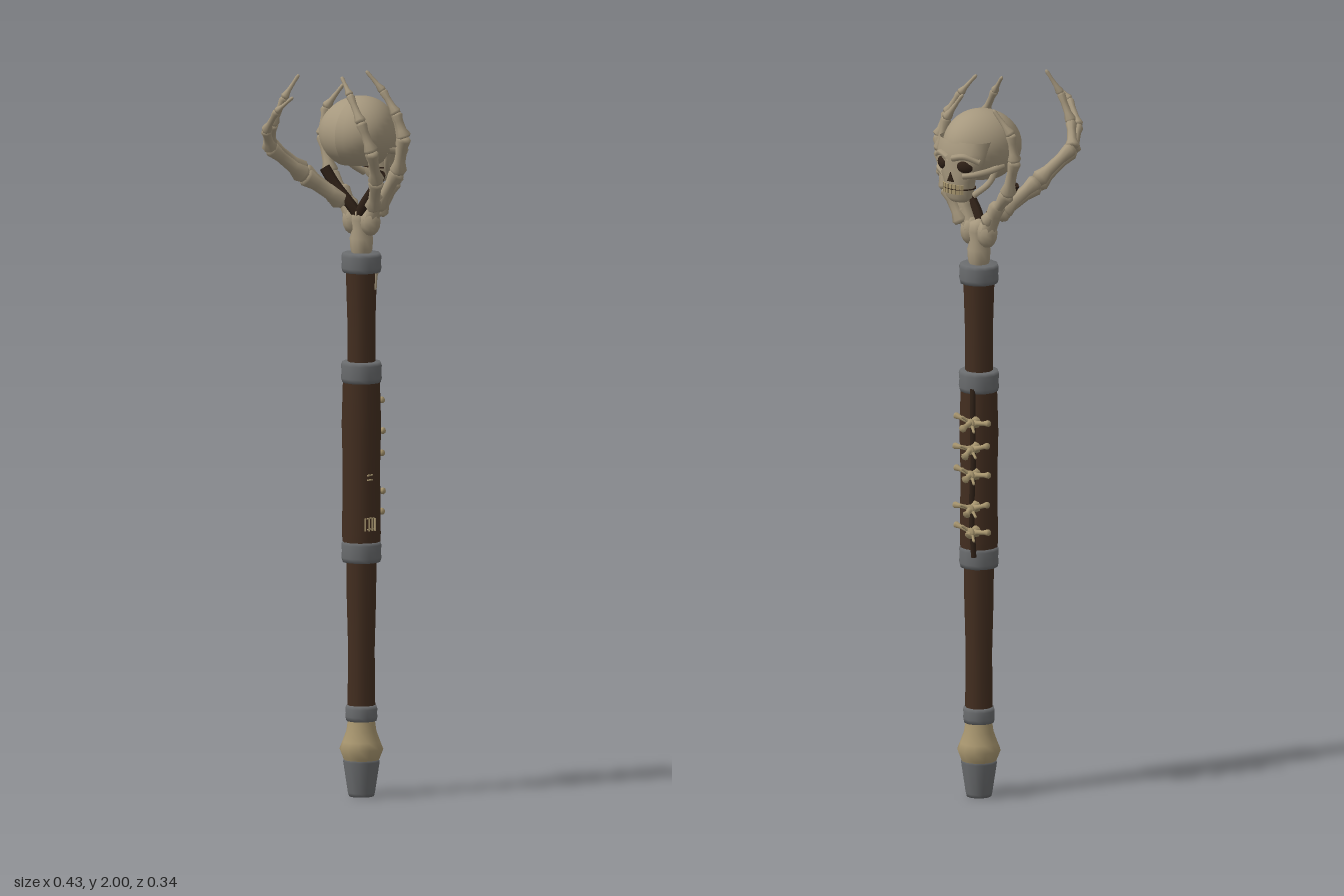
import * as THREE from 'three';

const mat = (name, color, side = THREE.FrontSide) => {
  const m = new THREE.MeshStandardMaterial({ color, side });
  m.name = name;
  return m;
};
const V = (p) => new THREE.Vector3(...p);
const AX = 0.08, AZ = -0.01; // staff axis

export function createModel() {
  const root = new THREE.Group();
  root.name = 'boneStaff';
  const bone = mat('bone', 0xa6987e, THREE.DoubleSide);
  const oldBone = mat('old bone', 0xa8966f);
  const wood = mat('dark brown leather', 0x432e20);
  const metal = mat('grey metal', 0x6a6c6e);
  const dark = mat('dried dark brown', 0x2f2117, THREE.DoubleSide);

  const add = (parent, name, geo, material, pos = [0, 0, 0]) => {
    const m = new THREE.Mesh(geo, material);
    m.name = name;
    m.position.set(...pos);
    parent.add(m);
    return m;
  };
  // Turned part on the staff axis, profile as [radius, y]
  const turned = (name, pts, material, sides = 12) =>
    add(root, name, new THREE.LatheGeometry(pts.map(([r, y]) => new THREE.Vector2(r, y)), sides), material, [AX, 0, AZ]);

  // Staff body
  turned('footCap', [[0, 0], [0.034, 0], [0.037, 0.01], [0.05, 0.095], [0.047, 0.105], [0, 0.105]], metal);
  turned('knuckleKnob', [[0.045, 0.09], [0.05, 0.105], [0.06, 0.13], [0.052, 0.15], [0.041, 0.18], [0.036, 0.215]], oldBone);
  turned('lowerShaft', [[0.038, 0.22], [0.036, 0.4], [0.04, 0.55], [0.041, 0.66]], wood, 10);
  turned('grip', [[0.05, 0.67], [0.053, 0.72], [0.051, 0.9], [0.054, 1.02], [0.05, 1.16]], wood, 12);
  turned('upperShaft', [[0.038, 1.17], [0.038, 1.3], [0.043, 1.46]], wood, 10);
  const rings = [[0.207, 0.25, 0.044], [0.643, 0.7, 0.055], [1.135, 1.192, 0.056], [1.437, 1.49, 0.055]];
  for (const [a, b, r] of rings)
    turned('metalBand', [[0.03, a], [r * 0.94, a], [r, a + 0.012], [r * 0.97, (a + b) / 2], [r, b - 0.01], [r * 0.93, b], [0.02, b]], metal, 12);

  // Tapered bone with swollen ends between two points
  const up = new THREE.Vector3(0, 1, 0);
  const phalanx = (parent, name, a, b, r0, r1, material = bone, waist = 0.68) => {
    const d = V(b).sub(V(a)), len = d.length();
    const prof = [[0, -0.04], [0.75, -0.02], [1, 0.08], [waist, 0.3], [waist, 0.68], [0.95, 0.92], [0.7, 1.01], [0, 1.03]];
    const pts = prof.map(([r, t]) => new THREE.Vector2(r * (r0 + (r1 - r0) * t), t * len));
    const m = add(parent, name, new THREE.LatheGeometry(pts, 8), material, a);
    m.quaternion.setFromUnitVectors(up, d.normalize());
    return m;
  };
  const tube = (parent, name, pts, r, material) =>
    add(parent, name, new THREE.TubeGeometry(new THREE.CatmullRomCurve3(pts.map(V)), 12, r, 6), material);
  const chain = (name, pts, radii) => {
    const g = new THREE.Group();
    g.name = name;
    root.add(g);
    for (let i = 0; i < pts.length - 1; i++) phalanx(g, name + 'Bone', pts[i], pts[i + 1], radii[i], radii[i + 1]);
  };

  // Wrist
  turned('wrist', [[0.024, 1.48], [0.03, 1.5], [0.032, 1.53], [0.025, 1.555], [0.03, 1.58], [0.026, 1.605], [0, 1.615]], bone, 10);
  for (const s of [-1, 1]) {
    const knob = add(root, 'wristKnob', new THREE.SphereGeometry(1, 10, 8), bone, [AX, 1.578, AZ + s * 0.03]);
    knob.scale.set(0.028, 0.04, 0.03);
    phalanx(root, 'palmBone', [AX, 1.575, AZ + s * 0.025], [AX, 1.665, AZ + s * 0.07], 0.028, 0.024, bone, 0.85);
    tube(root, 'driedSinew', [[0.07, 1.59, AZ], [0.06, 1.625, AZ + s * 0.025], [0.05, 1.675, AZ + s * 0.068], [0.04, 1.72, AZ + s * 0.095]], 0.015, dark);
  }

  // Fingers
  chain('rearOuterFinger', [[0.06, 1.63, -0.06], [-0.04, 1.705, -0.115], [-0.14, 1.79, -0.155], [-0.19, 1.845, -0.13], [-0.215, 1.905, -0.075], [-0.203, 1.945, -0.03]], [0.03, 0.027, 0.022, 0.015, 0.011, 0.005]);
  chain('rearInnerFinger', [[0.05, 1.64, -0.07], [-0.03, 1.72, -0.125], [-0.13, 1.80, -0.162], [-0.166, 1.86, -0.125], [-0.162, 1.935, -0.09], [-0.137, 1.997, -0.06]], [0.026, 0.024, 0.021, 0.016, 0.012, 0.005]);
  chain('thumb', [[0.085, 1.61, -0.045], [0.08, 1.70, -0.115], [0.09, 1.80, -0.15], [0.1, 1.875, -0.145], [0.12, 1.94, -0.1]], [0.024, 0.023, 0.019, 0.015, 0.005]);
  chain('frontOuterFinger', [[0.06, 1.62, 0.045], [0.015, 1.70, 0.09], [-0.04, 1.79, 0.115], [-0.055, 1.87, 0.09], [-0.045, 1.94, 0.045], [-0.035, 1.985, 0.01]], [0.024, 0.023, 0.02, 0.016, 0.012, 0.005]);
  chain('frontMiddleFinger', [[0.08, 1.62, 0.045], [0.085, 1.72, 0.11], [0.067, 1.82, 0.145], [0.058, 1.885, 0.125], [0.05, 1.945, 0.085], [0.03, 1.997, 0.045]], [0.026, 0.024, 0.021, 0.016, 0.012, 0.005]);
  chain('frontInnerFinger', [[0.095, 1.60, 0.04], [0.105, 1.69, 0.085], [0.1, 1.79, 0.115], [0.09, 1.88, 0.1], [0.08, 1.95, 0.05]], [0.023, 0.022, 0.019, 0.015, 0.005]);

  // Skull, facing +x
  const skull = new THREE.Group();
  skull.name = 'skull';
  skull.position.set(0.075, 1.82, AZ);
  root.add(skull);
  const cran = new THREE.SphereGeometry(1, 28, 20, 0, Math.PI * 2, 0, Math.PI * 0.82);
  const cp = cran.attributes.position;
  for (let i = 0; i < cp.count; i++) {
    const x = cp.getX(i);
    cp.setXYZ(i, x * 0.115, cp.getY(i) * 0.1, cp.getZ(i) * 0.102 * (1 - 0.14 * x));
  }
  cran.computeVertexNormals();
  add(skull, 'cranium', cran, bone);
  const base = add(skull, 'skullBase', new THREE.SphereGeometry(1, 18, 10), dark, [-0.005, -0.06, 0]);
  base.scale.set(0.075, 0.026, 0.07);

  // Face: elliptical rings [y, centre x, half depth, half width]
  const rows = [[0.03, 0.055, 0.054, 0.085], [0.0, 0.068, 0.053, 0.082], [-0.025, 0.078, 0.042, 0.08], [-0.055, 0.082, 0.037, 0.066],
    [-0.08, 0.084, 0.035, 0.05], [-0.105, 0.083, 0.033, 0.046], [-0.128, 0.085, 0.028, 0.04], [-0.14, 0.085, 0.018, 0.026]];
  const N = 16, pos = [], idx = [];
  rows.forEach(([y, cx, rx, rz], j) => {
    for (let i = 0; i < N; i++) {
      const a = (i / N) * Math.PI * 2;
      pos.push(cx + rx * Math.cos(a), y, rz * Math.sin(a));
      if (j === rows.length - 1) continue;
      const p = j * N + i, q = j * N + (i + 1) % N;
      idx.push(p, q, p + N, q, q + N, p + N);
    }
  });
  const tip = pos.length / 3;
  pos.push(0.085, -0.142, 0);
  for (let i = 0; i < N; i++) idx.push(tip - N + i, tip - N + (i + 1) % N, tip);
  const face = new THREE.BufferGeometry();
  face.setAttribute('position', new THREE.Float32BufferAttribute(pos, 3));
  face.setIndex(idx);
  face.computeVertexNormals();
  add(skull, 'face', face, bone);

  for (const s of [-1, 1]) {
    const eye = add(skull, 'eyeSocket', new THREE.SphereGeometry(1, 14, 10), dark, [0.104, -0.034, s * 0.042]);
    eye.scale.set(0.013, 0.02, 0.025);
    eye.rotation.y = -s * 0.55;
    tube(skull, 'browRidge', [[0.122, -0.014, s * 0.008], [0.112, -0.007, s * 0.042], [0.087, -0.022, s * 0.076]], 0.009, bone);
    tube(skull, 'cheekbone', [[0.11, -0.062, s * 0.036], [0.092, -0.056, s * 0.066], [0.05, -0.05, s * 0.083], [0.005, -0.042, s * 0.088]], 0.009, bone);
    tube(skull, 'jawBranch', [[0.02, -0.05, s * 0.078], [0.035, -0.09, s * 0.064], [0.075, -0.122, s * 0.042]], 0.009, bone);
  }
  const nose = new THREE.Shape([[-0.011, -0.012], [0.011, -0.012], [0, 0.014]].map((p) => new THREE.Vector2(...p)));
  const noseMesh = add(skull, 'noseHole', new THREE.ExtrudeGeometry(nose, { depth: 0.005, bevelEnabled: false }), dark, [0.117, -0.068, 0]);
  noseMesh.rotation.y = Math.PI / 2;
  // Teeth in two rows over a dark gap
  for (let i = -3; i <= 3; i++) {
    const a = i * 0.24;
    for (const y of [-0.094, -0.108]) {
      const t = add(skull, 'tooth', new THREE.BoxGeometry(0.008, 0.012, 0.009), oldBone, [0.083 + 0.035 * Math.cos(a), y, 0.048 * Math.sin(a)]);
      t.rotation.y = -a * 1.2;
    }
  }
  const gap = add(skull, 'mouthGap', new THREE.CylinderGeometry(1, 1, 0.003, 16), dark, [0.083, -0.101, 0]);
  gap.scale.set(0.0385, 1, 0.05);

  // Backbone along the grip
  tube(root, 'spineCord', [[0.128, 0.68, -0.035], [0.134, 0.8, -0.032], [0.134, 0.95, -0.038], [0.132, 1.05, -0.034], [0.126, 1.15, -0.03]], 0.008, dark);
  [1.06, 0.99, 0.915, 0.825, 0.755].forEach((y, i) => {
    const g = new THREE.Group();
    g.name = 'vertebra';
    g.position.set(0.13, y, -0.045);
    g.rotation.set(i % 2 ? 0.12 : -0.1, 0.2, i % 2 ? -0.12 : 0.08);
    root.add(g);
    const len = [0.075, 0.068, 0.06, 0.058, 0.042][i];
    phalanx(g, 'vertebraBody', [0, 0, 0], [0.036, 0.002, 0], 0.017, 0.014, oldBone);
    phalanx(g, 'spinousProcess', [0.025, 0.004, 0], [len, -0.008, 0], 0.011, 0.012, oldBone, 0.6);
    for (const s of [-1, 1]) {
      phalanx(g, 'sideProcess', [0.02, 0, 0], [0.024, 0.012, s * 0.055], 0.011, 0.01, oldBone, 0.6);
      phalanx(g, 'smallProcess', [0.025, 0, 0], [0.045, s * 0.018, s * 0.022], 0.009, 0.004, oldBone);
    }
  });

  // Tally scratches on the grip and a sliver under the top band
  const mark = (x, y, w, h) => add(root, 'tallyMark', new THREE.BoxGeometry(w, h, 0.004), oldBone,
    [x, y, AZ + Math.sqrt(0.053 ** 2 - (x - AX) ** 2)]);
  for (let i = 0; i < 4; i++) mark(0.045 + i * 0.009, 0.75, 0.003, 0.035);
  mark(0.058, 0.768, 0.034, 0.003);
  mark(0.058, 0.738, 0.026, 0.003);
  for (const y of [0.873, 0.886]) mark(0.056, y, 0.02, 0.004);
  phalanx(root, 'boneSliver', [0.095, 1.445, 0.03], [0.092, 1.39, 0.028], 0.008, 0.004);

  return root;
}
